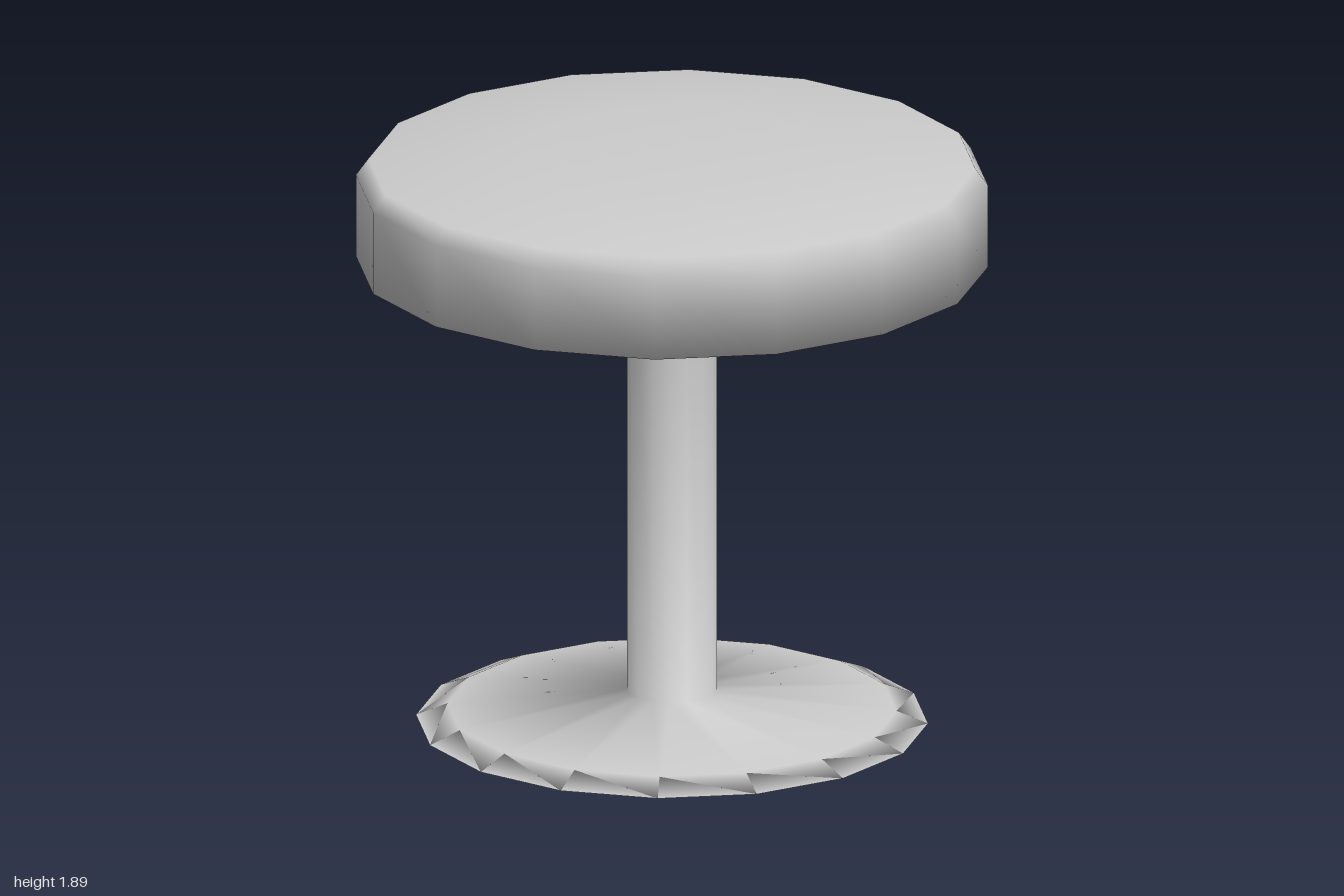
import * as THREE from 'three';

const SIDES = 16;

// One continuous profile (radius, height), from the underside centre to the top centre
const PROFILE = [
  [0, 0], [0.81, 0], [0.71, 0.04], [0.143, 0.1],    // base
  [0.143, 1.41],                                    // column
  [0.2, 1.47], [1, 1.52], [1, 1.79], [0.96, 1.845], // collar, underside, rim
  [0.45, 1.895], [0, 1.895],                        // cushion top
].map(([r, y]) => new THREE.Vector2(r, y));

export function createModel() {
  const group = new THREE.Group();
  group.name = 'roundStool';
  const material = new THREE.MeshStandardMaterial({ color: 0xcccccc });

  // Each part takes its own bands of the turned shape, so shading flows across the joints
  function addPart(name, firstBand, endBand) {
    const whole = new THREE.LatheGeometry(PROFILE, SIDES);
    const all = Array.from(whole.index.array);
    const perSide = (PROFILE.length - 1) * 6;
    const kept = [];
    for (let i = 0; i < SIDES; i++) {
      kept.push(...all.slice(i * perSide + firstBand * 6, i * perSide + endBand * 6));
    }
    whole.setIndex(kept);
    const mesh = new THREE.Mesh(whole.toNonIndexed(), material);
    mesh.name = name;
    group.add(mesh);
  }

  addPart('base', 0, 3);
  addPart('column', 3, 4);
  addPart('seat', 4, PROFILE.length - 1);
  return group;
}
